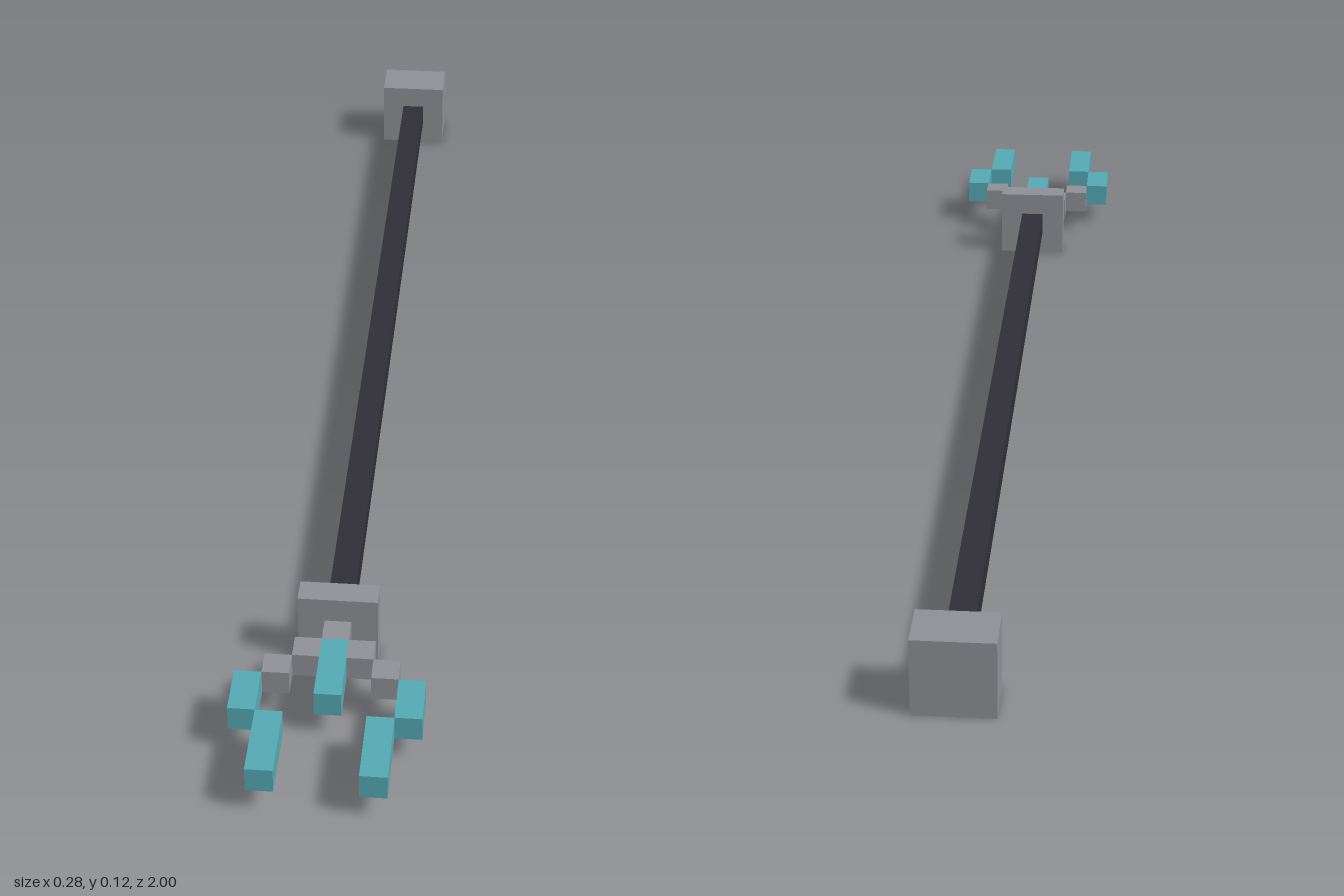
import * as THREE from 'three';

export function createModel() {
  const group = new THREE.Group();
  const material = (color) => new THREE.MeshStandardMaterial({ color, flatShading: true });
  const metal = material(0x8e9096);
  const dark = material(0x302e37);
  const teal = material(0x54a9b4);
  const axisY = 0.06;

  // Box spanning x0..x1 and z0..z1, centred on the shaft's height
  function bar(name, mat, x0, x1, z0, z1, height = 0.04) {
    const mesh = new THREE.Mesh(new THREE.BoxGeometry(x1 - x0, height, z1 - z0), mat);
    mesh.position.set((x0 + x1) / 2, axisY, (z0 + z1) / 2);
    mesh.name = name;
    group.add(mesh);
  }

  // Shaft with its end block and collar
  bar('pommel', metal, -0.06, 0.06, -1, -0.92, 0.12);
  bar('shaft', dark, -0.02, 0.02, -0.92, 0.64);
  bar('collar', metal, -0.06, 0.06, 0.64, 0.68, 0.12);

  // Neck and short middle prong
  bar('neck', metal, -0.02, 0.02, 0.68, 0.72);
  bar('middleProng', teal, -0.02, 0.02, 0.72, 0.84);

  // Stepped side prongs: inner x, outer x, start z, end z
  const steps = [
    ['ProngRoot', metal, 0.02, 0.06, 0.72, 0.76],
    ['ProngArm', metal, 0.06, 0.10, 0.76, 0.80],
    ['ProngBend', teal, 0.10, 0.14, 0.80, 0.88],
    ['ProngTip', teal, 0.06, 0.10, 0.88, 1],
  ];
  for (const [name, mat, x0, x1, z0, z1] of steps) {
    bar('left' + name, mat, x0, x1, z0, z1);
    bar('right' + name, mat, -x1, -x0, z0, z1);
  }
  return group;
}
